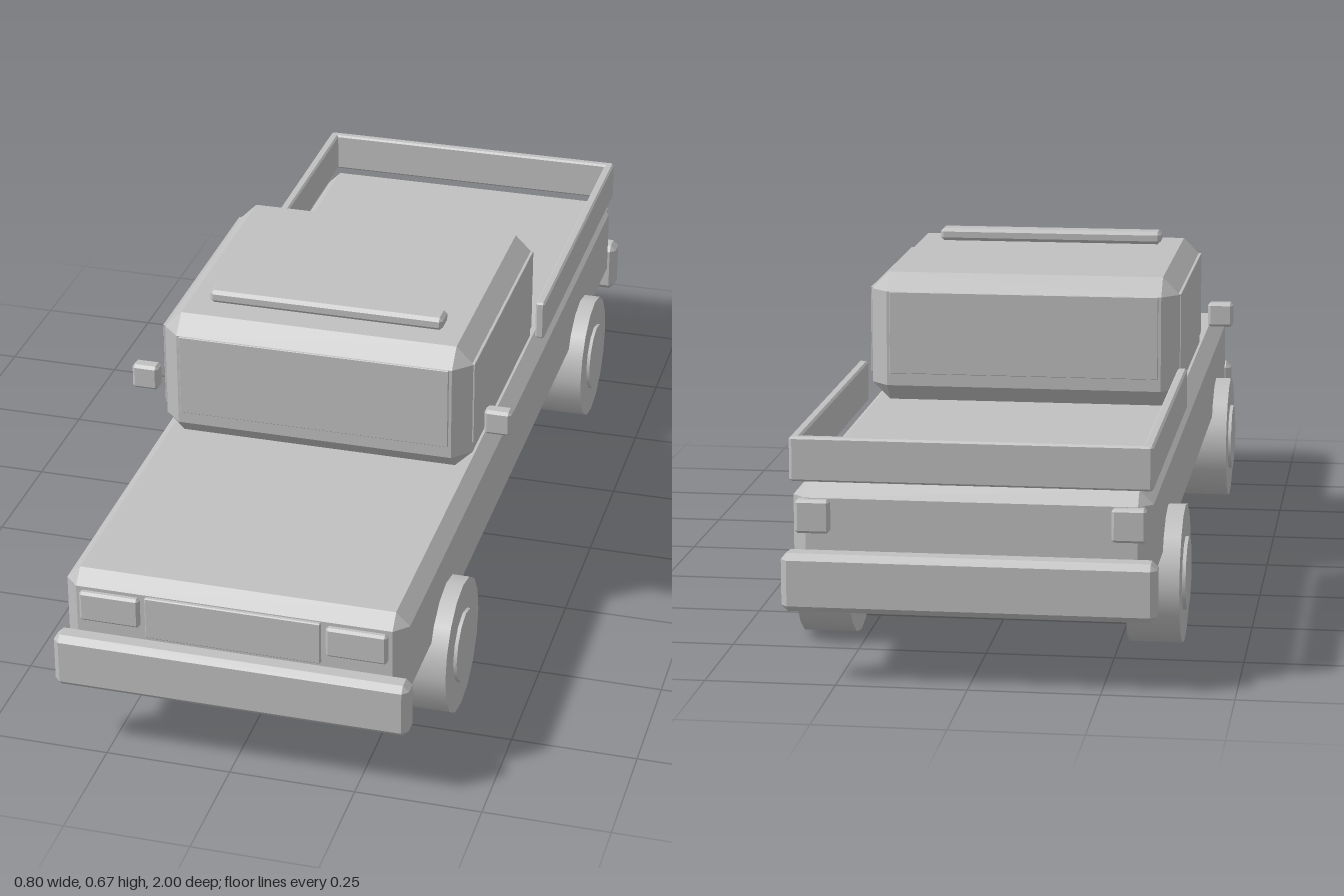
import * as THREE from 'three';
import { ConvexGeometry } from 'three/addons/geometries/ConvexGeometry.js';

const paint = new THREE.MeshStandardMaterial({ color: 0xc0c0c0 });
paint.name = 'plainGrey';

// Box with every edge cut by a flat chamfer c, given by its min and max on each axis
function chamferBox(name, [x0, x1], [y0, y1], [z0, z1], c) {
  const h = [(x1 - x0) / 2, (y1 - y0) / 2, (z1 - z0) / 2];
  const points = [];
  for (const sx of [-1, 1]) for (const sy of [-1, 1]) for (const sz of [-1, 1]) {
    for (let axis = 0; axis < 3; axis++) {
      const p = h.map((v, i) => (i === axis ? v : v - c));
      points.push(new THREE.Vector3(p[0] * sx, p[1] * sy, p[2] * sz));
    }
  }
  const mesh = new THREE.Mesh(new ConvexGeometry(points), paint);
  mesh.position.set((x0 + x1) / 2, (y0 + y1) / 2, (z0 + z1) / 2);
  mesh.name = name;
  return mesh;
}

// Cylinder lying along x
function disc(name, radius, width, sides, x, y, z) {
  const geometry = new THREE.CylinderGeometry(radius, radius, width, sides);
  geometry.rotateZ(Math.PI / 2);
  const mesh = new THREE.Mesh(geometry, paint);
  mesh.position.set(x, y, z);
  mesh.name = name;
  return mesh;
}

export function createModel() {
  const truck = new THREE.Group();
  truck.name = 'pickupTruck';
  const box = (...args) => truck.add(chamferBox(...args));

  // Body and cabin
  box('body', [-0.34, 0.34], [0.18, 0.375], [-0.95, 0.96], 0.027);
  box('cabin', [-0.322, 0.322], [0.375, 0.645], [-0.193, 0.402], 0.036);
  box('roofBar', [-0.243, 0.243], [0.645, 0.672], [0.263, 0.312], 0.007);

  // Windows
  box('windshield', [-0.28, 0.28], [0.437, 0.609], [0.4, 0.407], 0.001);
  box('rearWindow', [-0.28, 0.28], [0.437, 0.609], [-0.197, -0.19], 0.001);

  // Bumpers, grille and tailgate
  box('frontBumper', [-0.353, 0.353], [0.138, 0.25], [0.95, 1.0], 0.012);
  box('rearBumper', [-0.353, 0.353], [0.138, 0.25], [-1.0, -0.945], 0.012);
  box('grille', [-0.174, 0.174], [0.257, 0.346], [0.95, 0.968], 0.002);
  box('tailRail', [-0.34, 0.34], [0.38, 0.465], [-0.957, -0.937], 0.004);

  // Parts on both sides
  for (const s of [-1, 1]) {
    const span = (a, b) => (s > 0 ? [a, b] : [-b, -a]);
    box('sideWindow', span(0.317, 0.325), [0.432, 0.612], [-0.157, 0.367], 0.001);
    box('headlight', span(0.185, 0.305), [0.278, 0.341], [0.95, 0.972], 0.005);
    box('taillight', span(0.265, 0.33), [0.283, 0.347], [-0.968, -0.94], 0.005);
    box('bedRail', span(0.322, 0.342), [0.38, 0.465], [-0.955, -0.207], 0.004);
    box('mirror', span(0.343, 0.398), [0.453, 0.506], [0.33, 0.362], 0.006);
    for (const z of [0.65, -0.61]) {
      truck.add(disc('wheel', 0.137, 0.104, 16, s * 0.322, 0.137, z));
      truck.add(disc('hub', 0.074, 0.03, 12, s * 0.366, 0.137, z));
    }
  }
  return truck;
}
